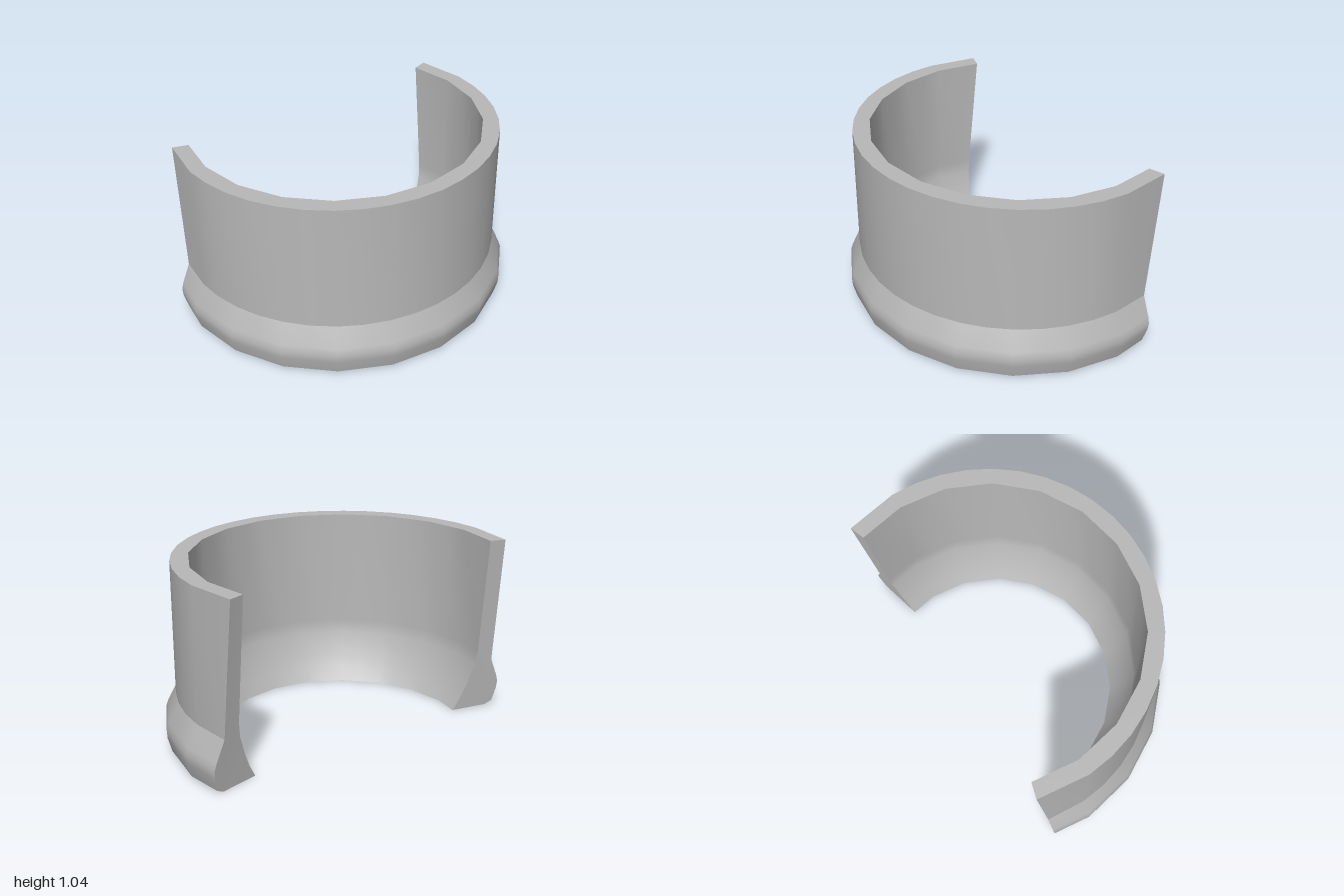
import * as THREE from 'three';
import { mergeGeometries } from 'three/addons/utils/BufferGeometryUtils.js';

const CENTER_Z = -0.36;
const DEG = Math.PI / 180;

// Cross-section bands as [radius, height, fine?], counter-clockwise; each band shades smoothly.
const bands = {
  underside: [[0.71, 0], [0.93, 0]],
  footBevel: [[0.93, 0], [0.975, 0.02]],
  flaredCollar: [[0.975, 0.02], [0.997, 0.1], [1.0, 0.145], [0.988, 0.185], [0.93, 0.3, true]],
  outerWall: [[0.93, 0.3, true], [0.93, 1.04, true]],
  topRim: [[0.93, 1.04, true], [0.84, 1.04]],
  innerWall: [[0.84, 1.04], [0.84, 0.36], [0.83, 0.28], [0.79, 0.16], [0.75, 0.07], [0.71, 0]],
};

// The open ends lean: the arc reaches further round at the top than at the foot.
const endAngle = (y) => 102.3 + 5.6 * (y / 1.04);

// Point on the ring; coarse rings lie on the chords of a 20-sided polygon.
function ringPoint([r, y, fine], angle) {
  const phase = Math.abs(angle) % 18;
  const radius = fine ? r : r * Math.cos(9 * DEG) / Math.cos((phase - 9) * DEG);
  return [radius * Math.sin(angle * DEG), y, CENTER_Z + radius * Math.cos(angle * DEG)];
}

function build(positions, index) {
  const geometry = new THREE.BufferGeometry();
  geometry.setAttribute('position', new THREE.Float32BufferAttribute(positions, 3));
  geometry.setIndex(index);
  geometry.computeVertexNormals();
  return geometry;
}

// Sweep one band around the arc in 9 degree steps plus the leaning ends.
function sweep(points) {
  const positions = [], index = [], columns = 23;
  for (const p of points) {
    for (let i = 0; i < columns; i++) {
      const end = endAngle(p[1]);
      const angle = i === 0 ? -end : i === columns - 1 ? end : (i - 11) * 9;
      positions.push(...ringPoint(p, angle));
    }
  }
  for (let j = 0; j < points.length - 1; j++) {
    for (let i = 0; i < columns - 1; i++) {
      const a = j * columns + i, b = a + columns;
      index.push(a, a + 1, b, a + 1, b + 1, b);
    }
  }
  return build(positions, index);
}

// Cut face closing one end of the arc.
function endCap(side) {
  const outline = Object.values(bands).flatMap((band) => band.slice(0, -1));
  const contour = outline.map(([r, y]) => new THREE.Vector2(r, y));
  const positions = outline.flatMap((p) => ringPoint(p, side * endAngle(p[1])));
  const index = THREE.ShapeUtils.triangulateShape(contour, [])
    .flatMap(([a, b, c]) => (side > 0 ? [a, c, b] : [a, b, c]));
  return build(positions, index);
}

export function createModel() {
  const model = new THREE.Group();
  model.name = 'openSleeve';
  const grey = new THREE.MeshStandardMaterial({ color: 0xb8b8b8 });
  grey.name = 'grey';

  const add = (name, geometry) => {
    const mesh = new THREE.Mesh(geometry, grey);
    mesh.name = name;
    model.add(mesh);
  };

  // Swept surfaces
  for (const [name, points] of Object.entries(bands)) add(name, sweep(points));
  // Both cut ends
  add('cutEnds', mergeGeometries([endCap(1), endCap(-1)]));
  return model;
}
